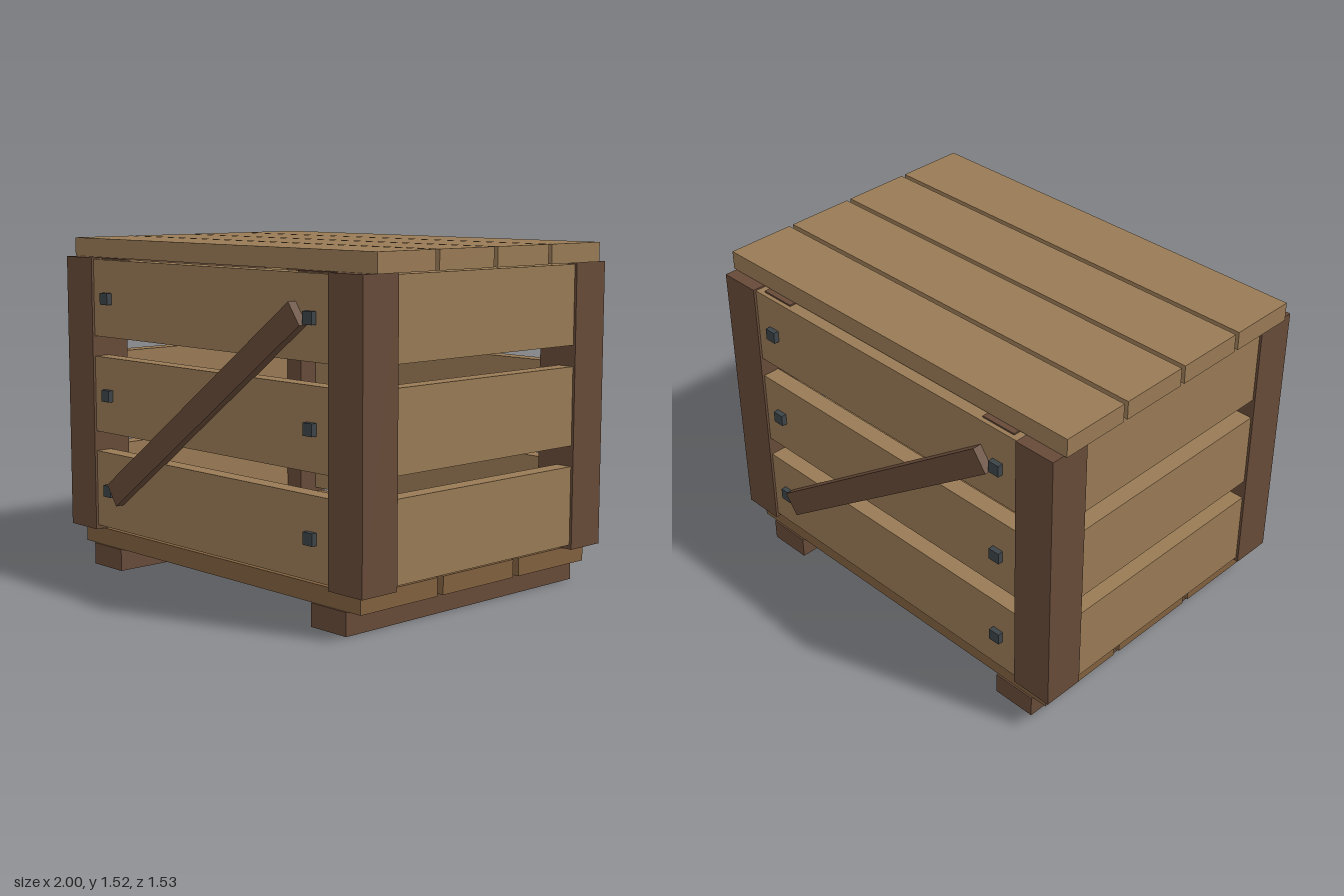
import * as THREE from 'three';

const material = (color) => new THREE.MeshStandardMaterial({ color, flatShading: true });

export function createModel() {
  const crate = new THREE.Group();
  crate.name = 'woodenCrate';
  const plankWood = material(0x987a54);
  const floorWood = material(0x80603f);
  const darkWood = material(0x664a38);
  const iron = material(0x3c4347);

  // Box given by its extents along each axis
  function box(name, mat, [x0, x1], [y0, y1], [z0, z1], parent = crate) {
    const mesh = new THREE.Mesh(new THREE.BoxGeometry(x1 - x0, y1 - y0, z1 - z0), mat);
    mesh.position.set((x0 + x1) / 2, (y0 + y1) / 2, (z0 + z1) / 2);
    mesh.name = name;
    parent.add(mesh);
    return mesh;
  }
  const around = (c, size) => [c - size / 2, c + size / 2];

  // Skids, lid battens and corner posts
  for (const s of [-1, 1]) {
    box('skid', darkWood, around(s * 0.753, 0.207), [0, 0.1], [-0.7, 0.7]);
    box('lidBatten', darkWood, around(s * 0.667, 0.17), [1.37, 1.44], [-0.705, 0.705]);
    for (const t of [-1, 1]) {
      box('cornerPost', darkWood, around(s * 0.887, 0.195), [0.18, 1.44], around(t * 0.64, 0.193));
    }
  }

  // Floor planks
  for (const z of [-0.473, 0, 0.473]) {
    box('floorPlank', floorWood, [-0.93, 0.93], [0.1, 0.18], around(z, 0.438));
  }

  // Lid planks
  for (let i = 0; i < 4; i++) {
    box('lidPlank', plankWood, [-1, 1], [1.44, 1.525], around((i - 1.5) * 0.344, 0.322));
  }

  // Slats on all four walls
  const slatRows = [[0.2, 0.55], [0.642, 0.99], [1.083, 1.433]];
  for (const s of [-1, 1]) {
    for (const row of slatRows) {
      box('sideSlat', plankWood, around(s * 0.933, 0.08), row, [-0.55, 0.55]);
    }
  }

  // Front wall, repeated on the back by a half turn
  for (const angle of [0, Math.PI]) {
    const wall = new THREE.Group();
    wall.name = angle ? 'backWall' : 'frontWall';
    wall.rotation.y = angle;
    crate.add(wall);
    for (const row of slatRows) {
      box('wallSlat', plankWood, [-0.8, 0.8], row, [0.645, 0.725], wall);
      for (const s of [-1, 1]) {
        box('bolt', iron, around(s * 0.683, 0.055), around((row[0] + row[1]) / 2, 0.053), [0.71, 0.75], wall);
      }
    }
    // Diagonal brace
    const brace = box('diagonalBrace', darkWood, around(0, 1.54), around(0.82, 0.112), [0.718, 0.766], wall);
    brace.rotation.z = Math.atan2(0.905, 1.245);
  }
  return crate;
}
